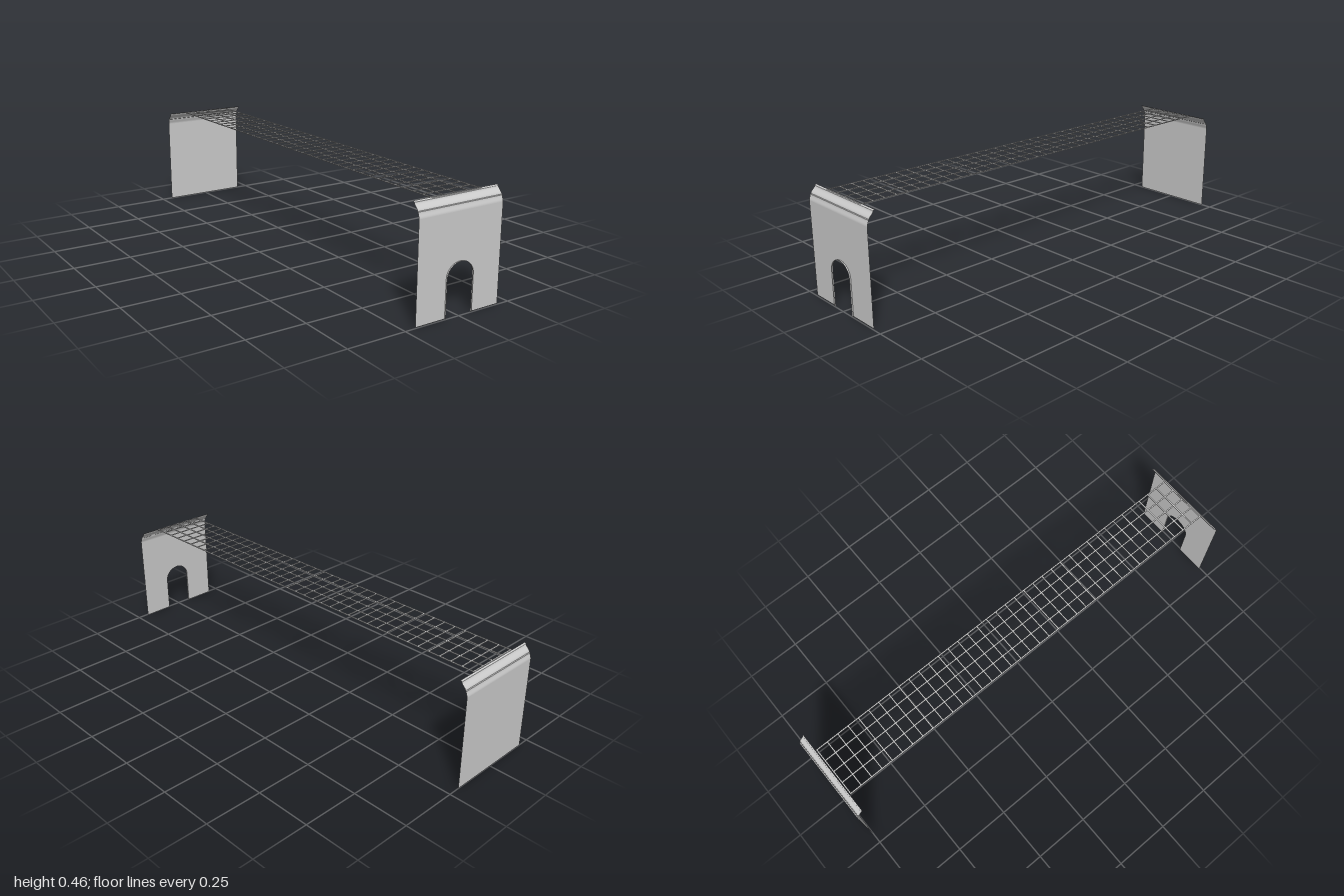
import * as THREE from 'three';

const WIDTH = 0.4, PANEL_H = 0.4;
const FRONT_Z = 0.994, BACK_Z = 1;
const ARCH = { half: 0.063, spring: 0.153, rise: 0.058, depth: 0.006 };

const sheet = new THREE.MeshStandardMaterial({ color: 0xcccccc, side: THREE.DoubleSide });
const solid = new THREE.MeshStandardMaterial({ color: 0xcccccc });

function addMesh(parent, name, geometry, material) {
  const mesh = new THREE.Mesh(geometry, material);
  mesh.name = name;
  parent.add(mesh);
  return mesh;
}

// Arch outline from the left foot over the top to the right foot
function archPoints() {
  const pts = [new THREE.Vector2(ARCH.half, 0)];
  const n = 24;
  for (let i = 0; i <= n; i++) {
    const a = (i / n) * Math.PI;
    pts.push(new THREE.Vector2(ARCH.half * Math.cos(a), ARCH.spring + ARCH.rise * Math.sin(a)));
  }
  pts.push(new THREE.Vector2(-ARCH.half, 0));
  return pts;
}

// Thin upright panel, optionally with the arched opening
function panelGeometry(withArch) {
  const w = WIDTH / 2;
  const corners = [[-w, 0], [-w, PANEL_H], [w, PANEL_H], [w, 0]].map(p => new THREE.Vector2(...p));
  const outline = withArch ? [...corners, ...archPoints()] : corners;
  return new THREE.ShapeGeometry(new THREE.Shape(outline));
}

// Narrow reveal projecting around the arched opening
function revealGeometry() {
  const pts = archPoints();
  const geo = new THREE.PlaneGeometry(1, 1, pts.length - 1, 1);
  const pos = geo.attributes.position;
  for (let i = 0; i < pos.count; i++) {
    const p = pts[i % pts.length];
    pos.setXYZ(i, p.x, p.y, i < pts.length ? ARCH.depth : 0);
  }
  geo.computeVertexNormals();
  return geo;
}

// One moulding strip: height y0..y1, set back d0..d1, optionally S-curved
function stripGeometry(y0, y1, d0, d1, curved) {
  const geo = new THREE.PlaneGeometry(WIDTH, 1, 1, curved ? 10 : 1);
  const pos = geo.attributes.position;
  for (let i = 0; i < pos.count; i++) {
    const t = pos.getY(i) + 0.5;
    const s = curved ? t * t * (3 - 2 * t) : t;
    pos.setY(i, y0 + (y1 - y0) * t);
    pos.setZ(i, -(d0 + (d1 - d0) * s));
  }
  geo.computeVertexNormals();
  return geo;
}

// End board: panel plus cornice leaning inward at the top
function endBoard(name, withArch) {
  const board = new THREE.Group();
  board.name = name;
  addMesh(board, 'panel', panelGeometry(withArch), sheet);
  if (withArch) addMesh(board, 'archReveal', revealGeometry(), sheet);
  const strips = [
    ['lowerMoulding', 0.4, 0.424, 0, 0.006, true],
    ['ledge', 0.424, 0.426, 0.006, 0.009, false],
    ['upperMoulding', 0.426, 0.454, 0.009, 0.028, true],
    ['topFillet', 0.454, 0.459, 0.028, 0.034, false],
  ];
  for (const [part, ...dims] of strips) addMesh(board, part, stripGeometry(...dims), sheet);
  return board;
}

// Flat lattice of thin bars spanning the two boards
function lattice() {
  const group = new THREE.Group();
  group.name = 'lattice';
  const half = 0.115, length = 1.926, bar = 0.006, thick = 0.003, y = 0.4565;
  const longGeo = new THREE.BoxGeometry(bar, thick, length);
  for (let i = 0; i < 5; i++) {
    addMesh(group, 'longBar', longGeo, solid).position.set(-half + (i * half) / 2, y, 0);
  }
  const crossGeo = new THREE.BoxGeometry(half * 2 + bar, thick, bar);
  const count = 37;
  for (let i = 0; i <= count; i++) {
    const z = (i / count - 0.5) * (length - bar);
    addMesh(group, 'crossBar', crossGeo, solid).position.set(0, y, z);
  }
  return group;
}

export function createModel() {
  const model = new THREE.Group();
  model.name = 'latticeSpan';

  const front = endBoard('frontBoard', true);
  front.position.z = FRONT_Z;

  const back = endBoard('backBoard', false);
  back.rotation.y = Math.PI;
  back.position.z = -BACK_Z;

  model.add(front, back, lattice());
  return model;
}
